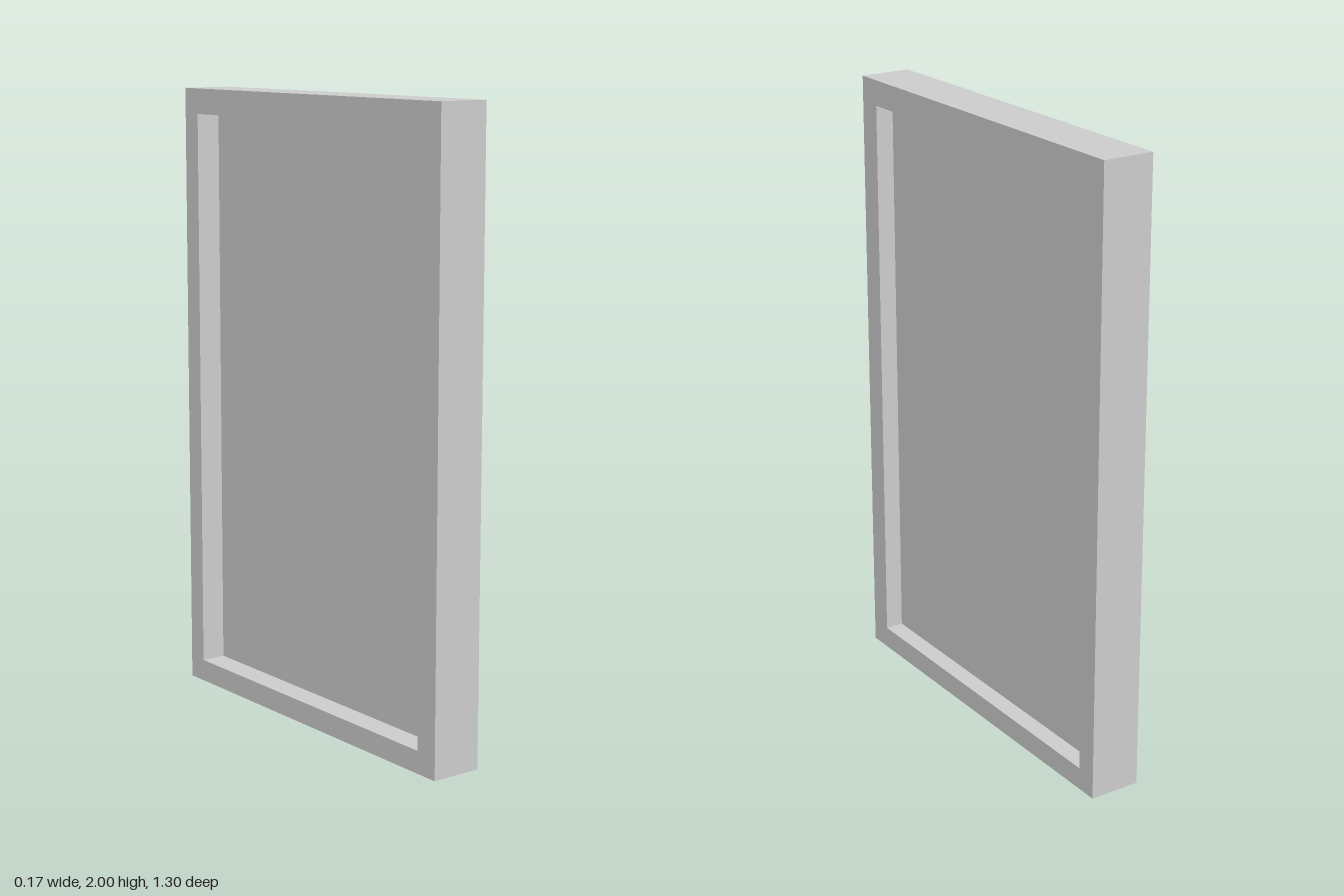
import * as THREE from 'three';

export function createModel() {
  const group = new THREE.Group();
  const material = new THREE.MeshStandardMaterial({ color: 0xcccccc, flatShading: true });

  // Overall size, and the slightly off-centre opening
  const halfThick = 0.084, halfWidth = 0.648, height = 2;
  const open = { back: -0.578, front: 0.567, bottom: 0.072, top: 1.918 };

  // Corners of a rectangle in the side plane (shape x runs along -z)
  const rect = (z0, z1, y0, y1) => [[-z1, y0], [-z0, y0], [-z0, y1], [-z1, y1]]
    .map(([x, y]) => new THREE.Vector2(x, y));

  // Surrounding frame with the opening cut through
  const shape = new THREE.Shape(rect(-halfWidth, halfWidth, 0, height));
  shape.holes.push(new THREE.Path(rect(open.back, open.front, open.bottom, open.top)));
  const frameGeometry = new THREE.ExtrudeGeometry(shape, { depth: 2 * halfThick, bevelEnabled: false });
  frameGeometry.translate(0, 0, -halfThick).rotateY(Math.PI / 2);
  const frame = new THREE.Mesh(frameGeometry, material);
  frame.name = 'frame';

  // Thin panel recessed on both sides
  const panelBack = -0.002, panelFront = 0.024;
  const panel = new THREE.Mesh(
    new THREE.BoxGeometry(panelFront - panelBack, open.top - open.bottom, open.front - open.back),
    material
  );
  panel.position.set((panelBack + panelFront) / 2, (open.top + open.bottom) / 2, (open.front + open.back) / 2);
  panel.name = 'panel';

  group.add(frame, panel);
  return group;
}
